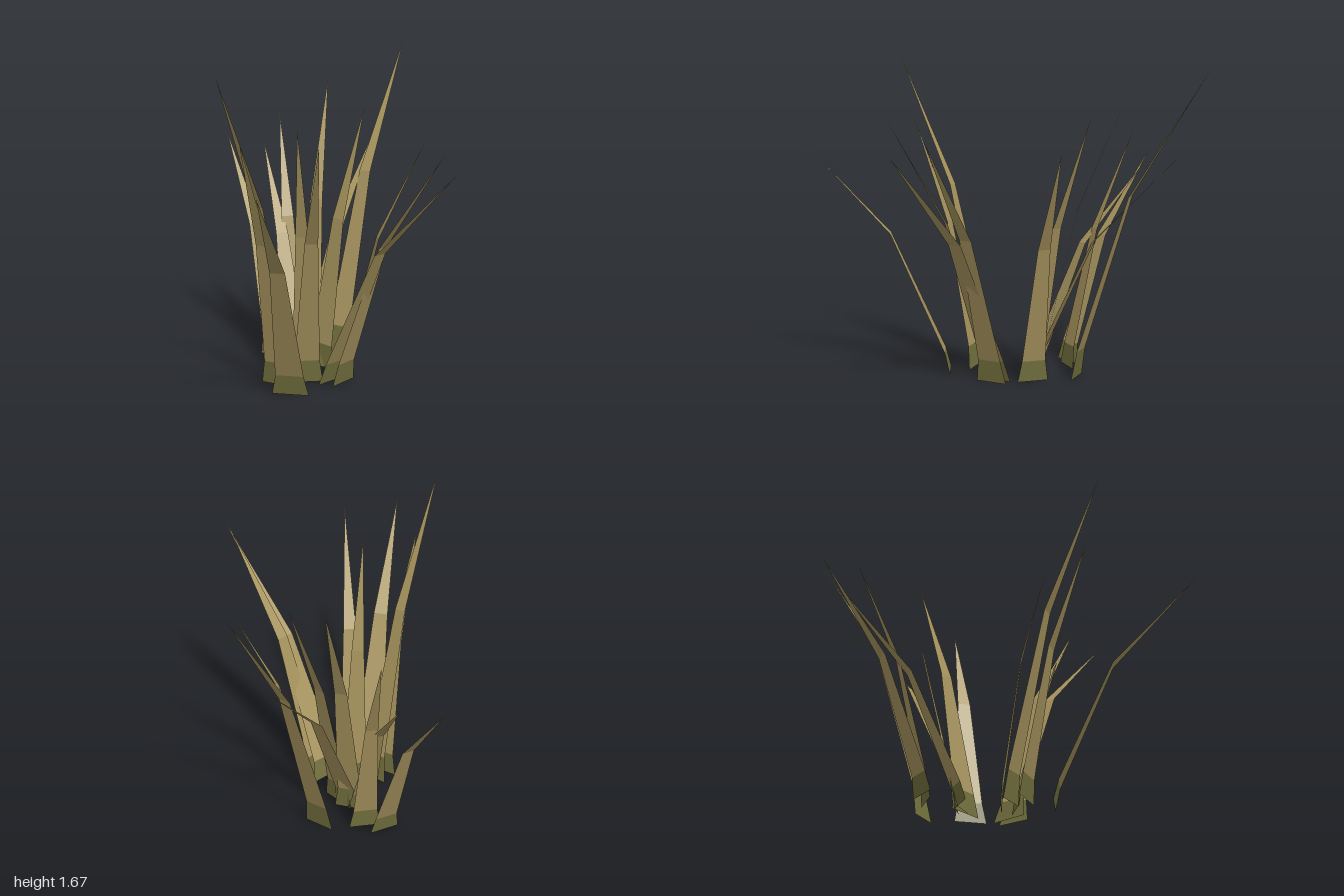
import * as THREE from 'three';

// Each blade: base centre x, z, tip x, y, z, base width
const BLADES = [
  [-0.118, -0.305, -0.20, 1.635, -1.00, 0.165],
  [-0.115, -0.07, -0.243, 1.18, -0.82, 0.165],
  [-0.147, -0.09, -0.333, 1.48, -0.493, 0.165],
  [-0.065, -0.088, -0.03, 1.36, -0.42, 0.198],
  [0.063, -0.145, 0.345, 1.225, -0.45, 0.165],
  [-0.305, -0.155, -0.60, 1.26, -0.40, 0.165],
  [-0.19, -0.035, -0.735, 1.085, -0.42, 0.165],
  [-0.40, -0.11, -0.94, 1.12, -0.345, 0.16],
  [0.185, 0.031, 0.805, 1.305, 0.04, 0.17],
  [0.125, 0.043, 0.94, 1.24, 0.148, 0.198],
  [0.033, 0.143, 0.415, 1.37, 0.515, 0.17],
  [0.083, 0.335, 0.445, 1.22, 1.00, 0.19],
  [-0.078, 0.188, -0.043, 1.67, 0.72, 0.15],
  [-0.06, 0.267, 0, 1.35, 0.61, 0.185],
  [-0.02, 0.092, 0.113, 1.375, 0.31, 0.165],
];

// Shared blade profile: share of reach, share of height, bulge of the bend, share of width
const PROFILE = [
  [0, 0, 0, 1],
  [0.035, 0.09, 0, 0.77],
  [0.405, 0.56, 0.07, 0.4],
  [1, 1, 0, 0],
];

// Flat strip through the given profile rows, ending in a point where width is 0
function strip([bx, bz, tx, ty, tz, width], rows) {
  const dx = tx - bx, dz = tz - bz, len = Math.hypot(dx, dz);
  const sx = dz / len, sz = -dx / len;
  const positions = [], index = [];
  rows.forEach(([reach, height, bulge, w], i) => {
    for (const side of [-0.5, 0.5]) {
      const s = side * w * width;
      positions.push(bx + dx * reach + sx * s, ty * height + len * bulge, bz + dz * reach + sz * s);
    }
    if (i === 0) return;
    const a = 2 * (i - 1);
    index.push(a, a + 1, a + 3);
    if (w > 0) index.push(a, a + 3, a + 2);
  });
  const geometry = new THREE.BufferGeometry();
  geometry.setAttribute('position', new THREE.Float32BufferAttribute(positions, 3));
  geometry.setIndex(index);
  const flat = geometry.toNonIndexed();
  flat.computeVertexNormals();
  return flat;
}

function material(name, color) {
  const m = new THREE.MeshStandardMaterial({ color, flatShading: true, side: THREE.DoubleSide });
  m.name = name;
  return m;
}

export function createModel() {
  const group = new THREE.Group();
  group.name = 'grassTuft';
  const straw = material('dryStraw', 0xa8955f);
  const olive = material('oliveGreen', 0x74713f);

  BLADES.forEach((data, i) => {
    const blade = new THREE.Group();
    blade.name = `blade${i + 1}`;
    // Green foot of the blade
    const foot = new THREE.Mesh(strip(data, PROFILE.slice(0, 2)), olive);
    foot.name = 'bladeFoot';
    // Dry, bent leaf above it
    const leaf = new THREE.Mesh(strip(data, PROFILE.slice(1)), straw);
    leaf.name = 'bladeLeaf';
    blade.add(foot, leaf);
    group.add(blade);
  });
  return group;
}
